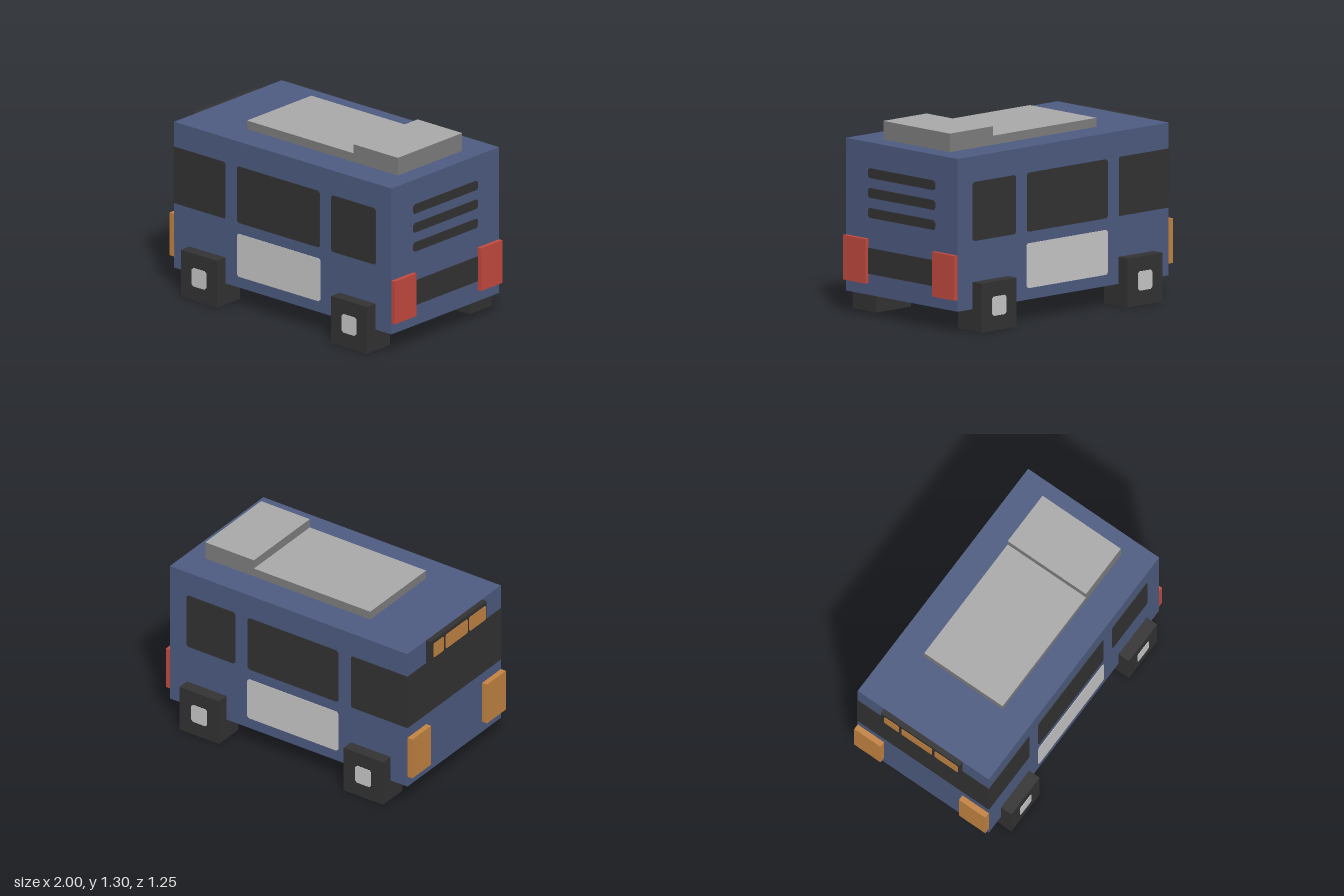
import * as THREE from 'three';

const flat = (name, color) => {
  const m = new THREE.MeshStandardMaterial({ color });
  m.name = name;
  return m;
};

export function createModel() {
  const blue = flat('body blue', 0x4e5c82);
  const dark = flat('dark glass and rubber', 0x333333);
  const silver = flat('silver panel', 0xc9c9c9);
  const roofTop = flat('roof grey', 0xaaaaaa);
  const roofSide = flat('roof edge grey', 0x7f7f7f);
  const red = flat('tail red', 0xc44a40);
  const orange = flat('lamp orange', 0xc48442);

  const bus = new THREE.Group();
  bus.name = 'minibus';

  // Box given by its limits on each axis
  const box = (name, mat, [x0, x1], [y0, y1], [z0, z1]) => {
    const mesh = new THREE.Mesh(new THREE.BoxGeometry(x1 - x0, y1 - y0, z1 - z0), mat);
    mesh.position.set((x0 + x1) / 2, (y0 + y1) / 2, (z0 + z1) / 2);
    mesh.name = name;
    bus.add(mesh);
  };

  // Thin plate with softened corners, facing +z before it is turned
  const THICK = 0.004;
  const plate = (parent, name, mat, [x0, x1], [y0, y1], r = 0.014) => {
    const s = new THREE.Shape();
    s.moveTo(x0 + r, y0);
    s.lineTo(x1 - r, y0).lineTo(x1, y0 + r).lineTo(x1, y1 - r).lineTo(x1 - r, y1);
    s.lineTo(x0 + r, y1).lineTo(x0, y1 - r).lineTo(x0, y0 + r).lineTo(x0 + r, y0);
    const mesh = new THREE.Mesh(new THREE.ExtrudeGeometry(s, { depth: THICK, bevelEnabled: false }), mat);
    mesh.name = name;
    parent.add(mesh);
  };
  const wall = (name, x, z, turn) => {
    const g = new THREE.Group();
    g.name = name;
    g.position.set(x, 0, z);
    g.rotation.y = turn;
    bus.add(g);
    return g;
  };

  // Body with a dark underside
  box('body', [blue, blue, blue, dark, blue, blue], [-0.96, 0.97], [0.148, 1.177], [-0.535, 0.535]);

  // Stepped roof unit
  const roof = [roofSide, roofSide, roofTop, roofSide, roofSide, roofSide];
  box('roofPanel', roof, [-0.505, 0.44], [1.177, 1.238], [-0.32, 0.32]);
  box('roofUnit', roof, [0.44, 0.835], [1.177, 1.302], [-0.32, 0.32]);

  // Windows and lower panel on both long sides
  for (const side of [1, -1]) {
    const g = wall(side > 0 ? 'frontSide' : 'backSide', 0, side * 0.535, side > 0 ? 0 : Math.PI);
    const span = (a, b) => (side > 0 ? [a, b] : [-b, -a]);
    const glass = [0.605, 1.003];
    plate(g, 'cabWindow', dark, span(-0.962, -0.505), glass, 0.008);
    plate(g, 'middleWindow', dark, span(-0.4, 0.335), glass);
    plate(g, 'rearWindow', dark, span(0.437, 0.832), glass);
    plate(g, 'lowerPanel', silver, span(-0.4, 0.34), [0.225, 0.527]);
  }

  // Tail end: vents and a dark band
  const tail = wall('tailEnd', 0.97, 0, Math.PI / 2);
  for (const y of [0.97, 0.837, 0.702]) plate(tail, 'vent', dark, [-0.322, 0.322], [y - 0.033, y + 0.033]);
  plate(tail, 'tailBand', dark, [-0.33, 0.33], [0.29, 0.465], 0.001);

  // Nose end: windscreen, sign box and its lit fields
  const nose = wall('noseEnd', -0.96, 0, -Math.PI / 2);
  plate(nose, 'windscreen', dark, [-0.537, 0.537], [0.605, 1.003], 0.001);
  box('signBox', dark, [-0.997, -0.95], [1.01, 1.176], [-0.32, 0.32]);
  const sign = wall('signFace', -0.996, 0, -Math.PI / 2);
  for (const span of [[-0.29, -0.17], [-0.15, 0.1], [0.12, 0.31]]) {
    plate(sign, 'signField', orange, span, [1.04, 1.148], 0.01);
  }

  // Corner lamps
  for (const z of [[0.32, 0.535], [-0.535, -0.32]]) {
    box('tailLamp', red, [0.968, 1], [0.226, 0.527], z);
    box('headLamp', orange, [-1, -0.958], [0.226, 0.527], z);
  }

  // Square wheels with hub plates
  for (const x of [-0.662, 0.67]) {
    for (const side of [1, -1]) {
      box('wheel', dark, [x - 0.16, x + 0.16], [0, 0.33], side > 0 ? [0.395, 0.62] : [-0.62, -0.395]);
      const g = wall('hub', x, side * 0.62, side > 0 ? 0 : Math.PI);
      plate(g, 'hubPlate', silver, [-0.064, 0.064], [0.1, 0.23]);
    }
  }
  return bus;
}
